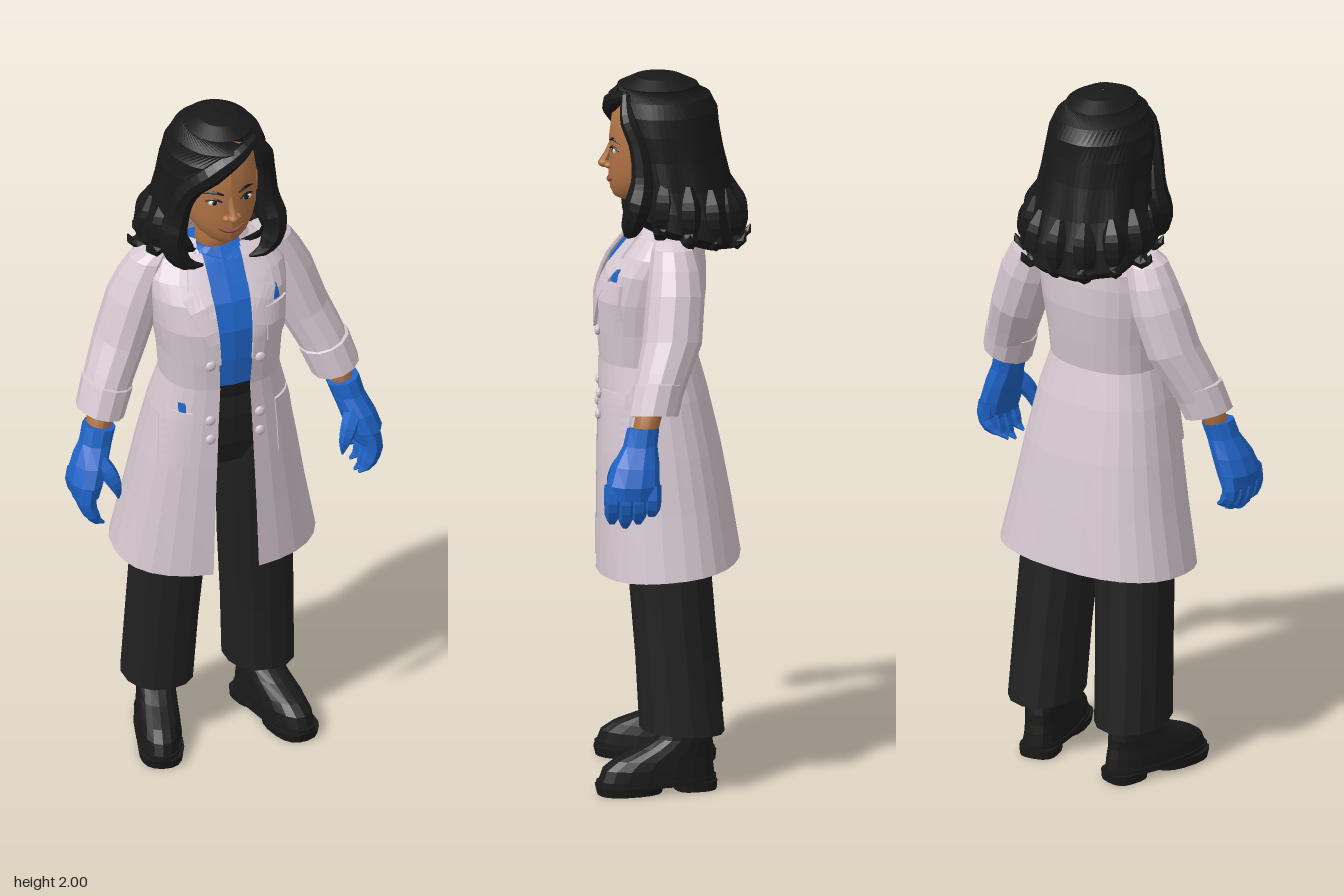
import * as THREE from 'three';

const mat = (name, color, extra = {}) => Object.assign(new THREE.MeshStandardMaterial({ color, ...extra }), { name });
const facet = { flatShading: true, side: THREE.DoubleSide };
const M = {
  coat: mat('coat cloth', 0xd6c8d1, facet),
  blue: mat('blue', 0x1f64c8, facet),
  trousers: mat('trouser black', 0x212122, facet),
  hair: mat('hair black', 0x191919, facet),
  shoe: mat('shoe black', 0x1b1a1a, facet),
  skin: mat('skin', 0xb07245),
  lip: mat('lip', 0x8f4d38),
  white: mat('eye white', 0xe6e0da),
};

const spow = (v, e) => Math.sign(v) * Math.abs(v) ** e;

// Stacked rings: [y, cx, cz, rx, rz, frontOpenFrom, frontOpenTo, tiltX, tiltZ]
function loft(sections, { n = 18, e = 1, ripple = 0, cap = true } = {}) {
  const secs = sections[0][0] > sections.at(-1)[0] ? [...sections].reverse() : sections;
  const pos = [], idx = [];
  for (const [y, cx, cz, rx, rz, xa = 0, xb = 0, tx = 0, tz = 0] of secs) {
    const ang = x => Math.asin(spow(THREE.MathUtils.clamp((x - cx) / rx, -1, 1), 1 / e));
    const open = xa !== xb, t0 = open ? ang(xb) : 0, t1 = 2 * Math.PI + (open ? ang(xa) : 0);
    for (let j = 0; j <= n; j++) {
      const t = t0 + (t1 - t0) * j / n;
      const k = 1 + ripple * Math.cos(9 * t) * THREE.MathUtils.clamp((1.97 - y) / 0.3, 0, 1);
      const dx = k * rx * spow(Math.sin(t), e), dz = k * rz * spow(Math.cos(t), e);
      pos.push(cx + dx, y + tx * dx + tz * dz, cz + dz);
    }
  }
  const w = n + 1;
  for (let i = 0; i < secs.length - 1; i++) for (let j = 0; j < n; j++) {
    const a = i * w + j, c = a + w;
    idx.push(a, a + 1, c, a + 1, c + 1, c);
  }
  if (cap) for (const [i, up] of [[0, false], [secs.length - 1, true]]) {
    const c = pos.length / 3;
    pos.push(secs[i][1], secs[i][0], secs[i][2]);
    for (let j = 0; j < n; j++) idx.push(c, i * w + j + (up ? 0 : 1), i * w + j + (up ? 1 : 0));
  }
  const g = new THREE.BufferGeometry();
  g.setAttribute('position', new THREE.Float32BufferAttribute(pos, 3));
  g.setIndex(idx);
  g.computeVertexNormals();
  return g;
}

// Depth of the front of a lofted surface at x, y (sections listed top down)
function frontZ(secs, x, y, e) {
  let i = 0;
  while (i < secs.length - 2 && secs[i + 1][0] > y) i++;
  const a = secs[i], b = secs[i + 1], t = THREE.MathUtils.clamp((a[0] - y) / (a[0] - b[0]), 0, 1);
  const [cz, rx, rz] = [2, 3, 4].map(k => a[k] + (b[k] - a[k]) * t);
  return cz + rz * Math.max(0, 1 - (Math.abs(x) / rx) ** (2 / e)) ** (e / 2);
}

// Tube whose radius follows a list of values
function taper(points, radii, sides = 7, steps = 12) {
  const curve = new THREE.CatmullRomCurve3(points.map(p => new THREE.Vector3(...p)));
  const g = new THREE.TubeGeometry(curve, steps, 1, sides), p = g.attributes.position, v = new THREE.Vector3();
  for (let i = 0; i <= steps; i++) {
    const c = curve.getPointAt(i / steps), f = i / steps * (radii.length - 1), k = Math.min(Math.floor(f), radii.length - 2);
    const r = radii[k] + (radii[k + 1] - radii[k]) * (f - k);
    for (let j = 0; j <= sides; j++) {
      const q = i * (sides + 1) + j;
      v.fromBufferAttribute(p, q).sub(c).multiplyScalar(r).add(c);
      p.setXYZ(q, v.x, v.y, v.z);
    }
  }
  g.computeVertexNormals();
  return g;
}

// Coat body rings, top down
const E = 0.85;
const coatSecs = [
  [1.58, 0.075, -0.07, 0.10, 0.06], [1.56, 0.10, -0.08, 0.165, 0.06], [1.51, 0.14, -0.09, 0.195, 0.06],
  [1.46, 0.18, -0.095, 0.195, 0.058], [1.38, 0.207, -0.095, 0.187, 0.054], [1.29, 0.208, -0.085, 0.172, 0.048],
  [1.2, 0.2, -0.072, 0.166, 0.043], [1.1, 0.202, -0.1, 0.193, 0.048], [0.95, 0.206, -0.135, 0.223, 0.054],
  [0.8, 0.208, -0.163, 0.25, 0.06], [0.622, 0.21, -0.19, 0.287, 0.066],
].map(([y, f, b, rx, gap], i) => [y, 0, (f + b) / 2, rx, (f - b) / 2, -gap, gap, 0, i === 10 ? -0.08 : 0]);
const coatZ = (x, y) => frontZ(coatSecs, x, y, E);

const headSecs = [
  [1.96, 0, 0.04, 0.05, 0.06], [1.93, 0, 0.04, 0.08, 0.1], [1.88, 0, 0.045, 0.1, 0.118], [1.82, 0, 0.05, 0.108, 0.12],
  [1.78, 0, 0.053, 0.107, 0.116], [1.74, 0, 0.058, 0.104, 0.114], [1.7, 0, 0.068, 0.091, 0.103],
  [1.67, 0, 0.08, 0.07, 0.087], [1.65, 0, 0.092, 0.046, 0.064], [1.638, 0, 0.1, 0.02, 0.03],
];
const faceZ = (x, y) => frontZ(headSecs, x, y, 1);

// Thin plate laid on the coat front; corners: bottom inner, bottom outer, top outer, top inner
function panel(corners, s = 1, t = 0.008, lift = 0) {
  const c = s > 0 ? corners : [1, 0, 3, 2].map(i => [-corners[i][0], corners[i][1]]);
  const g = new THREE.BoxGeometry(1, 1, 1, 5, 6, 1), p = g.attributes.position;
  for (let i = 0; i < p.count; i++) {
    const u = p.getX(i) + 0.5, v = p.getY(i) + 0.5, w = p.getZ(i) + 0.5;
    const [x, y] = [0, 1].map(k => (c[0][k] * (1 - u) + c[1][k] * u) * (1 - v) + (c[3][k] * (1 - u) + c[2][k] * u) * v);
    p.setXYZ(i, x, y, coatZ(x, y) + lift + w * t);
  }
  g.computeVertexNormals();
  return g;
}
const rect = (x0, x1, y0, y1) => [[x0, y0], [x1, y0], [x1, y1], [x0, y1]];

export function createModel() {
  const root = new THREE.Group();
  const add = (name, geo, material, parent = root) => {
    const m = new THREE.Mesh(geo, material);
    m.name = name;
    parent.add(m);
    return m;
  };
  const blob = (name, material, x, y, z, sx, sy, sz) => {
    const m = add(name, new THREE.SphereGeometry(1, 12, 8), material);
    m.position.set(x, y, z);
    m.scale.set(sx, sy, sz);
    return m;
  };
  const inset = (k, lo, hi) => coatSecs.filter(c => c[0] >= lo && c[0] <= hi).map(c => [c[0], 0, c[2], c[3] * k, c[4] * k]);

  // Clothing on the trunk
  add('coatBody', loft(coatSecs, { n: 26, e: E, cap: false }), M.coat);
  add('shirt', loft([[1.585, 0, 0.015, 0.06, 0.06], ...inset(0.94, 1.19, 1.57)], { e: E }), M.blue);
  add('trouserTop', loft([...inset(0.93, 1.05, 1.2), [1.0, 0, 0.045, 0.17, 0.13], [0.92, 0, 0.04, 0.1, 0.1]], { e: E }), M.trousers);
  add('belt', loft([[1.205, 0, 0.064, 0.158, 0.13], [1.165, 0, 0.06, 0.163, 0.132]], { e: E }), M.shoe);
  add('coatCollar', loft([[1.605, 0, 0, 0.082, 0.07, -0.06, 0.06], [1.57, 0, 0, 0.115, 0.085, -0.065, 0.065]], { cap: false }), M.coat);
  add('breastPocket', panel(rect(0.095, 0.165, 1.33, 1.43)), M.coat);
  add('breastPocketHem', panel(rect(0.093, 0.167, 1.41, 1.435), 1, 0.009, 0.004), M.coat);
  add('chestTag', panel([[0.125, 1.44], [0.145, 1.44], [0.14, 1.475], [0.13, 1.475]], 1, 0.006), M.blue);
  add('pocketPen', panel(rect(0.135, 0.15, 1.125, 1.155), -1, 0.008, 0.003), M.blue);

  for (const s of [1, -1]) {
    const side = s > 0 ? 'left' : 'right';
    const limb = secs => secs.map(([y, cx, cz, rx, rz, tx = 0, tz = 0]) => [y, cx * s, cz, rx, rz, 0, 0, tx * s, tz]);

    // Lapels, pockets and buttons
    add(side + 'Lapel', panel([[0.045, 1.29], [0.052, 1.29], [0.135, 1.475], [0.056, 1.51]], s, 0.009), M.coat);
    add(side + 'CollarFlap', panel([[0.054, 1.5], [0.115, 1.5], [0.1, 1.565], [0.055, 1.575]], s, 0.009), M.coat);
    add(side + 'ShirtCollar', panel([[0.012, 1.53], [0.05, 1.535], [0.055, 1.575], [0.004, 1.56]], s, 0.008, -0.004), M.blue);
    add(side + 'HipPocket', panel([[0.13, 0.96], [0.2, 0.965], [0.188, 1.1], [0.125, 1.1]], s, 0.009), M.coat);
    add(side + 'PocketFlap', panel([[0.122, 1.08], [0.186, 1.085], [0.176, 1.13], [0.12, 1.13]], s, 0.009, 0.006), M.coat);
    for (const y of [1.285, 1.105, 1.045]) blob(side + 'Button', M.coat, 0.072 * s, y, coatZ(0.072, y) + 0.003, 0.015, 0.015, 0.009);

    // Sleeve, cuff and forearm
    add(side + 'Sleeve', loft(limb([[1.57, 0.155, 0.0, 0.04, 0.045], [1.545, 0.175, -0.005, 0.058, 0.06, 0.1], [1.49, 0.197, -0.01, 0.066, 0.072, 0.2],
      [1.42, 0.222, -0.01, 0.073, 0.08, 0.3], [1.3, 0.265, 0.0, 0.069, 0.082, 0.35], [1.22, 0.302, 0.025, 0.065, 0.074, 0.35], [1.14, 0.335, 0.048, 0.062, 0.068, 0.3]]), { n: 12 }), M.coat);
    add(side + 'Cuff', loft(limb([[1.2, 0.312, 0.035, 0.06, 0.062, 0.3], [1.195, 0.314, 0.037, 0.07, 0.073, 0.3],
      [1.115, 0.342, 0.054, 0.066, 0.071, 0.3], [1.12, 0.341, 0.054, 0.05, 0.055, 0.3]]), { n: 12 }), M.coat);
    add(side + 'Forearm', loft(limb([[1.16, 0.335, 0.055, 0.038, 0.038], [1.05, 0.36, 0.08, 0.034, 0.034]])), M.skin);

    // Glove
    add(side + 'Glove', loft(limb([[1.085, 0.354, 0.08, 0.046, 0.044, 0.2], [1.04, 0.367, 0.088, 0.045, 0.047, 0.1], [0.99, 0.388, 0.1, 0.05, 0.065],
      [0.94, 0.404, 0.108, 0.05, 0.073], [0.9, 0.408, 0.11, 0.038, 0.068]]), { n: 10 }), M.blue);
    for (let f = 0; f < 4; f++) {
      const z = 0.055 + f * 0.036, low = [0.85, 0.825, 0.812, 0.825][f];
      add(side + 'Finger', taper([[0.412 * s, 0.94, z], [0.416 * s, 0.885, z], [0.385 * s, low, z + 0.003], [0.37 * s, low - 0.005, z + 0.003]], [0.024, 0.025, 0.021, 0.004], 6, 6), M.blue);
    }
    add(side + 'Thumb', taper([[0.375 * s, 1.0, 0.125], [0.345 * s, 0.955, 0.155], [0.33 * s, 0.915, 0.163], [0.326 * s, 0.885, 0.16]], [0.028, 0.026, 0.019, 0.003], 6, 7), M.blue);

    // Trouser leg
    add(side + 'TrouserLeg', loft(limb([[1.03, 0.085, 0.045, 0.08, 0.115], [0.9, 0.098, 0.035, 0.088, 0.117], [0.6, 0.126, 0.006, 0.103, 0.112],
      [0.38, 0.138, -0.012, 0.099, 0.112], [0.17, 0.147, -0.028, 0.097, 0.117, 0, 0.06]]), { n: 14, e: 0.9 }), M.trousers);

    // Shoe with separate sole and heel, toes turned out
    const shoe = new THREE.Group();
    shoe.name = side + 'Shoe';
    shoe.position.x = 0.158 * s;
    shoe.rotation.y = 0.25 * s;
    root.add(shoe);
    add('shoeUpper', loft([[0.2, 0, -0.035, 0.048, 0.06], [0.15, 0, -0.03, 0.052, 0.075], [0.125, 0, -0.01, 0.054, 0.1], [0.095, 0, 0.025, 0.057, 0.137],
      [0.07, 0, 0.04, 0.06, 0.157], [0.03, 0, 0.045, 0.061, 0.167]], { e: 0.85 }), M.shoe, shoe);
    add('welt', loft([[0.038, 0, 0.045, 0.064, 0.17], [0.022, 0, 0.045, 0.064, 0.17]], { e: 0.85 }), M.shoe, shoe);
    add('frontSole', loft([[0.026, 0, 0.12, 0.064, 0.096], [0, 0, 0.12, 0.06, 0.09]], { e: 0.8 }), M.shoe, shoe);
    add('heel', loft([[0.026, 0, -0.065, 0.055, 0.06], [0, 0, -0.065, 0.053, 0.058]], { e: 0.7 }), M.shoe, shoe);

    // Eye, brow and ear
    const ex = 0.046 * s, ez = faceZ(ex, 1.788);
    blob(side + 'Eye', M.white, ex, 1.788, ez - 0.001, 0.017, 0.009, 0.005);
    blob(side + 'Iris', M.hair, ex, 1.788, ez + 0.002, 0.008, 0.008, 0.004);
    const arc = (y, pts, dz) => pts.map(([x, dy]) => [x * s, y + dy, faceZ(x, y + dy) + dz]);
    add(side + 'Lashes', taper(arc(1.795, [[0.026, -0.005], [0.046, 0.004], [0.068, -0.004]], 0.002), [0.002, 0.004, 0.002], 5, 6), M.hair);
    add(side + 'Brow', taper(arc(1.815, [[0.022, -0.003], [0.045, 0.006], [0.073, -0.004]], 0), [0.003, 0.005, 0.001], 5, 6), M.hair);
    blob(side + 'Ear', M.skin, 0.11 * s, 1.765, 0.05, 0.014, 0.034, 0.024);
  }

  // Head and face
  add('neck', loft([[1.69, 0, 0.04, 0.052, 0.055], [1.6, 0, 0.02, 0.05, 0.052], [1.55, 0, 0.02, 0.056, 0.062]]), M.skin);
  add('head', loft(headSecs, { n: 24 }), M.skin);
  add('noseBridge', taper([[0, 1.8, 0.162], [0, 1.765, 0.175], [0, 1.742, 0.187]], [0.008, 0.01, 0.013]), M.skin);
  blob('noseTip', M.skin, 0, 1.742, 0.184, 0.016, 0.013, 0.017);
  for (const s of [1, -1]) blob('nostril', M.skin, 0.016 * s, 1.738, 0.172, 0.011, 0.009, 0.012);
  blob('chin', M.skin, 0, 1.662, 0.145, 0.027, 0.016, 0.017);
  const smile = (dy, dz) => [-0.036, -0.018, 0, 0.018, 0.036].map(x => {
    const y = 1.694 + dy + 9 * x * x;
    return [x, y, faceZ(x, y) + dz];
  });
  add('lips', taper(smile(0, 0.0), [0.002, 0.006, 0.007, 0.006, 0.002], 6, 10), M.lip);

  // Hair: swept shell, open at the face, with a side parting
  add('hairShell', loft([
    [2.0, 0.005, 0.035, 0.004, 0.004, 0, 0], [1.992, 0.008, 0.037, 0.055, 0.065, 0, 0], [1.97, 0.008, 0.037, 0.093, 0.11, 0, 0],
    [1.94, 0.005, 0.032, 0.12, 0.14, 0.066, 0.085], [1.9, 0.002, 0.025, 0.138, 0.153, 0.0, 0.1], [1.85, 0, 0.02, 0.148, 0.153, -0.065, 0.112],
    [1.78, 0, 0.005, 0.154, 0.15, -0.095, 0.118], [1.7, 0, -0.012, 0.168, 0.156, -0.105, 0.118, 0, 0.1], [1.64, 0, -0.027, 0.186, 0.165, -0.105, 0.115, 0, 0.2],
    [1.585, 0, -0.035, 0.193, 0.165, -0.09, 0.1, 0, 0.3], [1.555, 0, -0.035, 0.17, 0.14, -0.08, 0.085, 0, 0.3], [1.56, 0, -0.02, 0.11, 0.09, -0.06, 0.06, 0, 0.3],
  ], { n: 54, ripple: 0.03, cap: false }), M.hair);
  add('rightFringe', taper([[0.085, 1.955, 0.125], [0.03, 1.93, 0.155], [-0.045, 1.885, 0.155], [-0.105, 1.81, 0.11], [-0.132, 1.71, 0.09],
    [-0.145, 1.63, 0.1], [-0.11, 1.575, 0.115], [-0.065, 1.565, 0.12]], [0.012, 0.026, 0.034, 0.032, 0.033, 0.04, 0.03, 0.004], 8, 24), M.hair);
  add('leftFringe', taper([[0.08, 1.955, 0.125], [0.112, 1.9, 0.12], [0.13, 1.82, 0.09], [0.14, 1.72, 0.08],
    [0.15, 1.63, 0.1], [0.115, 1.575, 0.115], [0.07, 1.565, 0.12]], [0.012, 0.024, 0.026, 0.03, 0.04, 0.03, 0.004], 8, 24), M.hair);

  // Flipped locks round the bottom of the hair
  for (let i = 0; i < 9; i++) {
    const t = (68 + i * 28) * Math.PI / 180, out = i % 2 ? 1.1 : 1.05, back = -Math.cos(t);
    const at = (k, y) => [0.19 * k * Math.sin(t), y - 0.035 * back, -0.03 + 0.165 * k * Math.cos(t)];
    add('hairLock', taper([at(0.82, 1.72), at(0.9, 1.64), at(0.93, 1.58), at(out, 1.57), at(out + 0.08, 1.6)], [0.012, 0.036, 0.036, 0.024, 0.002], 6, 10), M.hair);
  }
  return root;
}
